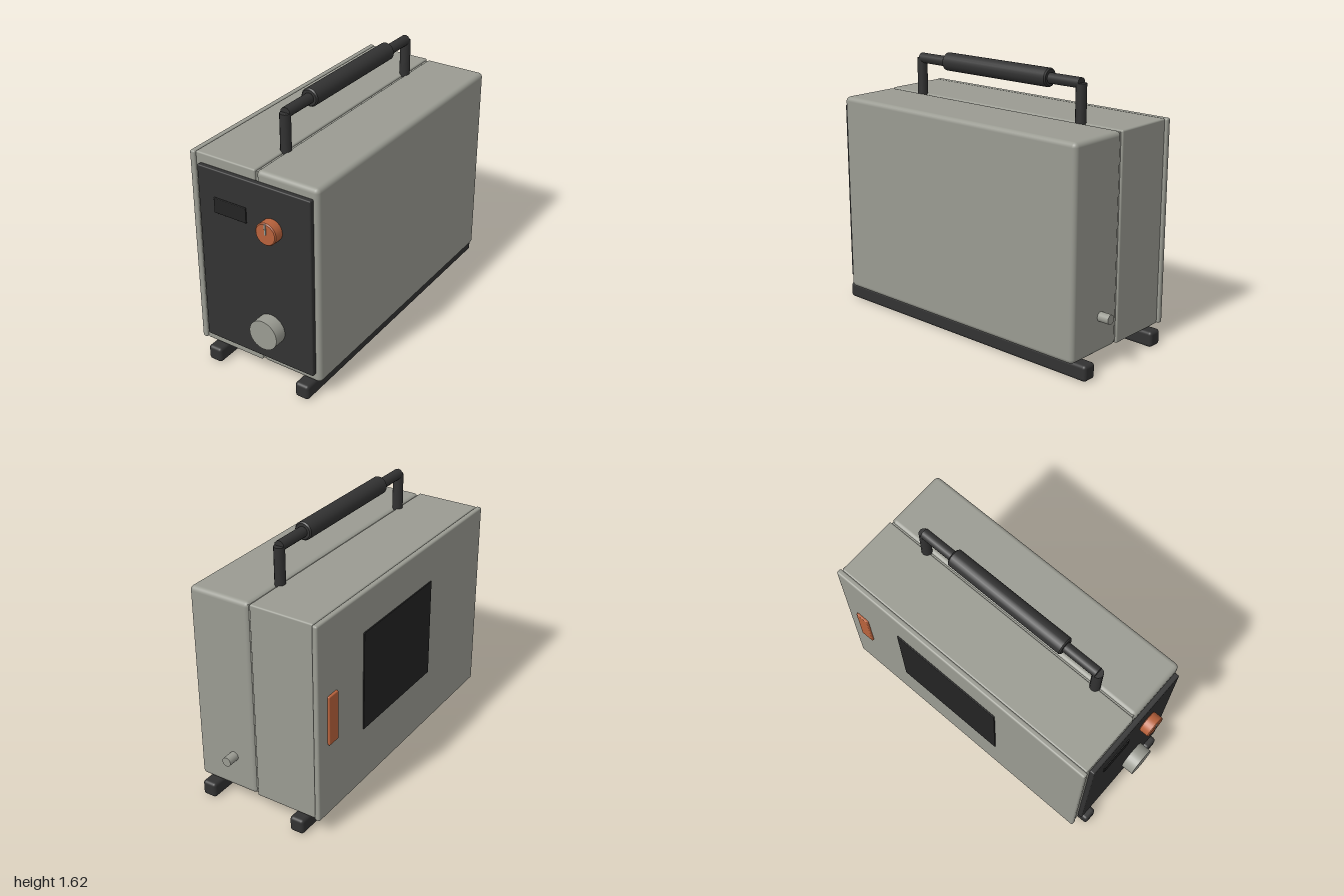
import * as THREE from 'three';
import { RoundedBoxGeometry } from 'three/addons/geometries/RoundedBoxGeometry.js';

const mat = (name, color) => {
  const m = new THREE.MeshStandardMaterial({ color });
  m.name = name;
  return m;
};

export function createModel() {
  const model = new THREE.Group();
  model.name = 'portableCase';
  const shell = mat('warm grey', 0x9a9b92);
  const dark = mat('charcoal', 0x323232);
  const black = mat('near black', 0x232323);
  const orange = mat('burnt orange', 0xb8623c);

  const add = (name, geometry, material) => {
    const mesh = new THREE.Mesh(geometry, material);
    mesh.name = name;
    model.add(mesh);
    return mesh;
  };

  // Rounded box given by its limits on each axis
  const box = (name, [x0, x1], [y0, y1], [z0, z1], radius, material) => {
    const g = new RoundedBoxGeometry(x1 - x0, y1 - y0, z1 - z0, 3, radius);
    add(name, g, material).position.set((x0 + x1) / 2, (y0 + y1) / 2, (z0 + z1) / 2);
  };

  // Round part along z, with a small chamfer on both rims
  const rod = (name, x, y, [z0, z1], r, chamfer, sides, material) => {
    const h = z1 - z0;
    const g = new THREE.CylinderGeometry(r, r, h - 2 * chamfer, sides, 1, chamfer > 0);
    const mesh = add(name, g.rotateX(Math.PI / 2), material);
    mesh.position.set(x, y, (z0 + z1) / 2);
    if (chamfer > 0) {
      for (const s of [1, -1]) {
        const rim = new THREE.CylinderGeometry(r - chamfer, r, chamfer, sides);
        rim.translate(0, h / 2 - chamfer / 2, 0).rotateX(s * Math.PI / 2);
        const cap = new THREE.Mesh(rim, material);
        cap.name = name + 'Rim';
        mesh.add(cap);
      }
    }
  };

  // Two-part case with a seam, and the side cover
  box('rightShell', [0.024, 0.425], [0.1, 1.345], [-0.927, 0.89], 0.028, shell);
  box('leftShell', [-0.386, 0.018], [0.1, 1.345], [-0.927, 0.89], 0.01, shell);
  box('seamCore', [-0.02, 0.06], [0.112, 1.333], [-0.915, 0.878], 0.002, shell);
  box('sideCover', [-0.42, -0.385], [0.1, 1.345], [-0.94, 0.9], 0.012, shell);

  // Front control panel
  box('frontPanel', [-0.355, 0.395], [0.16, 1.285], [0.885, 0.92], 0.008, dark);
  box('display', [-0.245, -0.026], [1.02, 1.115], [0.918, 0.927], 0.003, black);
  rod('knob', 0.147, 1.038, [0.918, 0.985], 0.068, 0.006, 32, orange);
  box('knobPointer', [0.141, 0.153], [1.035, 1.102], [0.975, 0.989], 0.003, shell);
  rod('frontPort', 0.115, 0.38, [0.918, 1.0], 0.093, 0, 32, shell);

  // Outlet at the back
  rod('rearOutlet', 0.176, 0.315, [-1.0, -0.92], 0.029, 0, 20, shell);

  // Side panel and latch on the cover
  box('sidePanel', [-0.428, -0.418], [0.47, 1.1], [-0.49, 0.26], 0.003, black);
  box('latch', [-0.434, -0.415], [0.57, 0.88], [-0.85, -0.76], 0.006, orange);

  // Skid feet
  for (const x of [-0.29, 0.334]) {
    box('skidFoot', [x - 0.046, x + 0.046], [0, 0.096], [-0.985, 0.952], 0.02, dark);
  }

  // Carrying handle
  for (const z of [0.612, -0.64]) {
    const g = new THREE.CylinderGeometry(0.032, 0.032, 0.24, 12);
    add('handlePost', g, dark).position.set(0.021, 1.448, z);
  }
  rod('handleBar', 0.021, 1.568, [-0.64, 0.612], 0.032, 0, 12, dark);
  rod('handleGrip', 0.021, 1.57, [-0.42, 0.39], 0.055, 0.008, 24, dark);

  return model;
}
